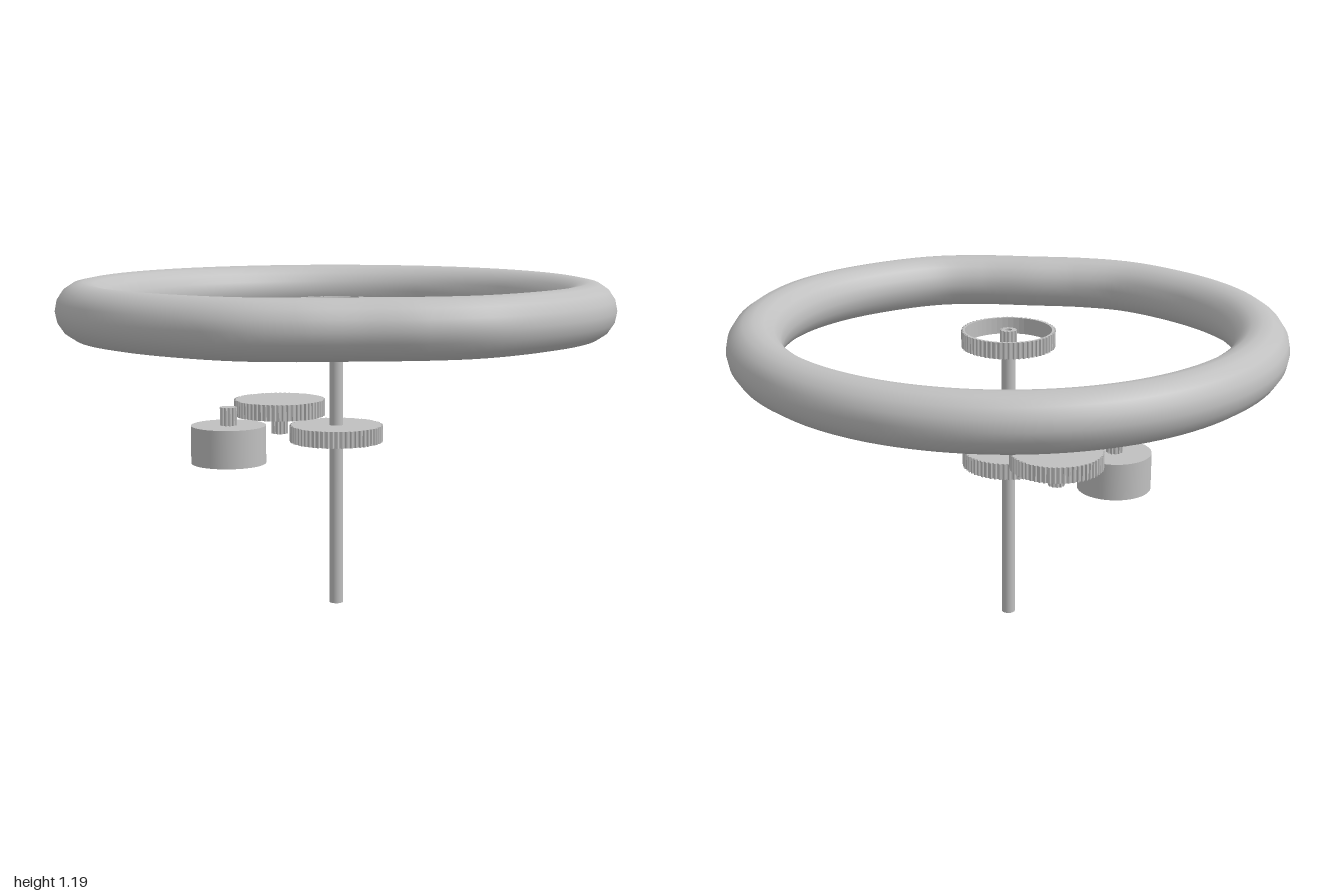
import * as THREE from 'three';

const grey = new THREE.MeshStandardMaterial({ color: 0xc0c0c0 });
grey.name = 'plain grey';

const AXIS_Z = 0.055; // depth of the steering column
const GEAR_H = 0.06;

export function createModel() {
  const model = new THREE.Group();
  model.name = 'steeringWheelAssembly';

  const add = (name, geometry, x, y, z) => {
    const mesh = new THREE.Mesh(geometry, grey);
    mesh.name = name;
    mesh.position.set(x, y, z);
    model.add(mesh);
    return mesh;
  };

  // Straight-toothed gear standing on its lower face, optionally bored out
  const gear = (radius, teeth, depth, bore = 0, height = GEAR_H) => {
    const points = [];
    for (let i = 0; i < teeth; i++) {
      [[0, 0], [0.2, 1], [0.5, 1], [0.7, 0]].forEach(([t, tip]) => {
        const a = ((i + t) / teeth) * Math.PI * 2;
        const r = radius - (tip ? 0 : depth);
        points.push(new THREE.Vector2(Math.cos(a) * r, Math.sin(a) * r));
      });
    }
    const shape = new THREE.Shape(points);
    if (bore) {
      const hole = new THREE.Path();
      hole.absarc(0, 0, bore, 0, Math.PI * 2, true);
      shape.holes.push(hole);
    }
    const g = new THREE.ExtrudeGeometry(shape, { depth: height, bevelEnabled: false, curveSegments: 24 });
    return g.rotateX(-Math.PI / 2);
  };

  // Rim: circular grip with a flattened front
  const path = [];
  for (let i = 0; i <= 12; i++) {
    const a = THREE.MathUtils.degToRad(-200 + (i / 12) * 220);
    path.push(new THREE.Vector3(Math.cos(a) * 0.9, 0, 0.04 + Math.sin(a) * 0.9));
  }
  const front = [[0.73, 0.55], [0.56, 0.715], [0.38, 0.825], [0.2, 0.862]];
  front.forEach(([x, z]) => path.push(new THREE.Vector3(x, 0, z)));
  path.push(new THREE.Vector3(0, 0, 0.863));
  [...front].reverse().forEach(([x, z]) => path.push(new THREE.Vector3(-x, 0, z)));
  const rimCurve = new THREE.CatmullRomCurve3(path, true, 'centripetal');
  add('rim', new THREE.TubeGeometry(rimCurve, 128, 0.1, 16, true), 0, 1.092, 0);

  // Hollow steering column
  const column = [[0.013, 0], [0.025, 0], [0.025, 1.12], [0.013, 1.12], [0.013, 0]];
  for (let i = 0; i < column.length - 1; i++) {
    const wall = column.slice(i, i + 2).map(([r, y]) => new THREE.Vector2(r, y));
    add('columnWall', new THREE.LatheGeometry(wall, 24), 0, 0, AXIS_Z);
  }

  // Hub: thin toothed ring around a small gear
  add('hubRing', gear(0.17, 60, 0.006, 0.157), 0, 1.06, AXIS_Z);
  add('hubGear', gear(0.031, 12, 0.005, 0.0245), 0, 1.06, AXIS_Z);

  // Reduction gears
  add('columnGear', gear(0.17, 60, 0.006, 0.0245), 0, 0.605, AXIS_Z);
  add('middleGear', gear(0.17, 60, 0.006), -0.196, 0.675, -0.137);
  add('middlePinion', gear(0.031, 12, 0.005, 0, 0.07), -0.196, 0.605, -0.137);

  // Motor with its pinion
  add('motor', new THREE.CylinderGeometry(0.136, 0.136, 0.138, 48), -0.392, 0.6, AXIS_Z);
  add('motorPinion', gear(0.031, 12, 0.005, 0, 0.066), -0.392, 0.669, AXIS_Z);

  return model;
}
